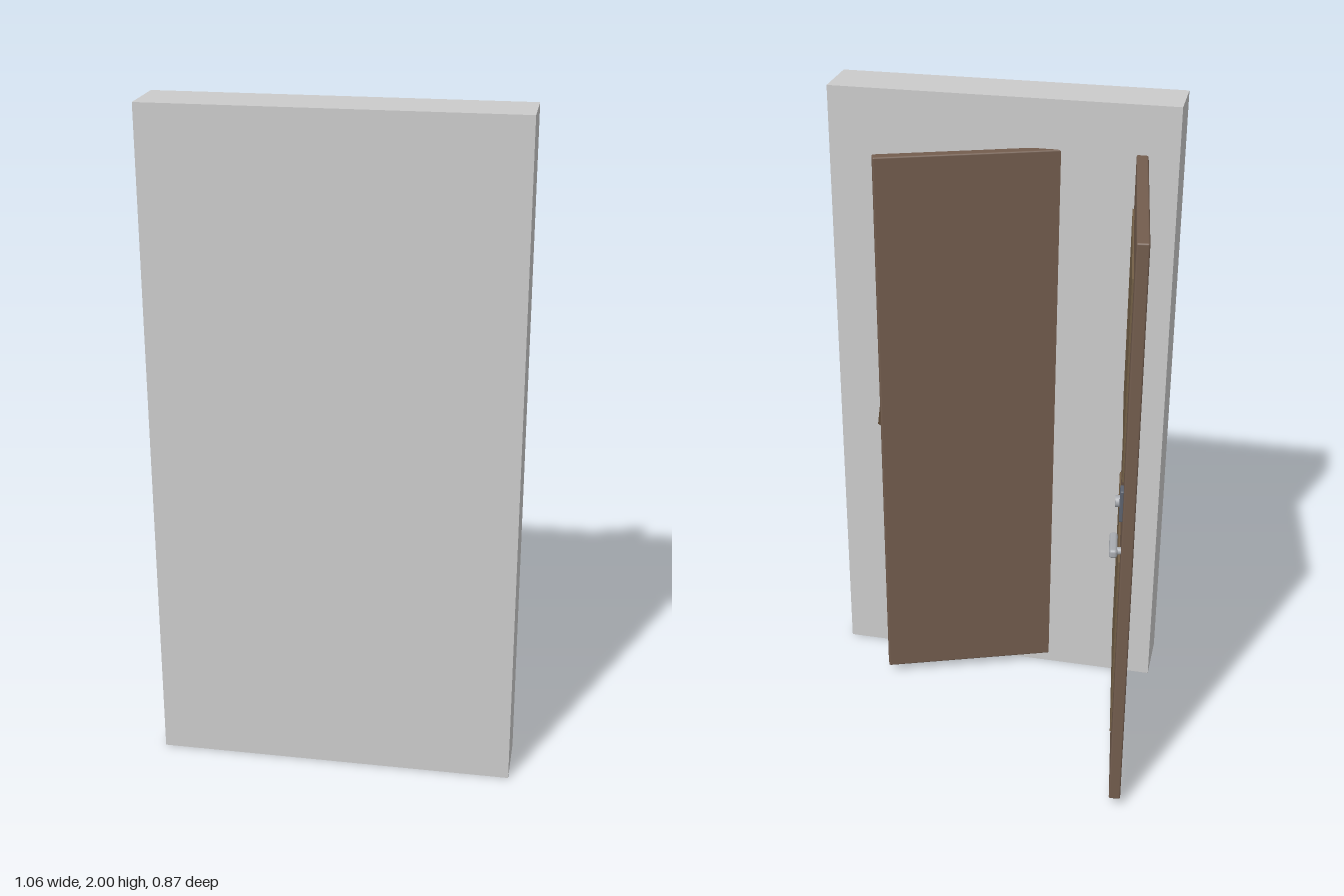
import * as THREE from 'three';
import { RoundedBoxGeometry } from 'three/addons/geometries/RoundedBoxGeometry.js';

const mat = (color) => new THREE.MeshStandardMaterial({ color });
const grey = mat(0xcccccc);
const wood = mat(0x735d4e);
const panelWood = mat(0x735f46);
const steel = mat(0xa8abb0);
const darkSteel = mat(0x5c626e);
const black = mat(0x222222);
const fobWood = mat(0x5a4632);

function add(parent, name, geometry, material, x, y, z) {
  const mesh = new THREE.Mesh(geometry, material);
  mesh.name = name;
  mesh.position.set(x, y, z);
  parent.add(mesh);
  return mesh;
}

// Door in its own frame: hinge at the origin, leaf along +x, panelled face to +z
function makeDoor(name, angle) {
  const door = new THREE.Group();
  door.name = name;
  const width = 0.806, thick = 0.035, face = thick / 2;
  add(door, 'doorLeaf', new RoundedBoxGeometry(width, 1.82, thick, 2, 0.005), wood, width / 2, 0.94, 0);

  // Raised panels
  for (const [part, y] of [['upperPanel', 1.39], ['lowerPanel', 0.5]]) {
    add(door, part, new THREE.BoxGeometry(0.535, 0.62, 0.01), panelWood, 0.41, y, face);
  }

  // Lever handle on a short post
  const post = add(door, 'handlePost', new THREE.CylinderGeometry(0.011, 0.011, 0.02, 24), steel, 0.755, 0.9, face + 0.008);
  post.rotation.x = Math.PI / 2;
  add(door, 'handleLever', new RoundedBoxGeometry(0.105, 0.028, 0.024, 3, 0.009), steel, 0.727, 0.9, 0.039);

  // Lock plate with turn knob
  add(door, 'lockPlate', new RoundedBoxGeometry(0.04, 0.1, 0.012, 2, 0.004), darkSteel, 0.746, 1.05, face + 0.004);
  const knob = add(door, 'lockKnob', new THREE.CylinderGeometry(0.017, 0.017, 0.022, 24), steel, 0.732, 1.05, face + 0.011);
  knob.rotation.x = Math.PI / 2;

  door.position.set(-0.41, 0, 0.364);
  door.rotation.y = THREE.MathUtils.degToRad(angle);
  return door;
}

export function createModel() {
  const model = new THREE.Group();
  model.name = 'doorwayWithTwoDoors';
  add(model, 'wall', new THREE.BoxGeometry(1.064, 2, 0.176), grey, 0, 1, 0.35);

  model.add(makeDoor('wideOpenDoor', 97.5));
  const ajar = makeDoor('ajarDoor', 20.1);
  model.add(ajar);

  // Black lock body with a hanging wooden fob, on the ajar door only
  const lock = new THREE.Group();
  lock.name = 'hangingLock';
  add(lock, 'lockBody', new RoundedBoxGeometry(0.045, 0.1, 0.028, 2, 0.004), black, 0.757, 1.075, 0.034);
  const strap = add(lock, 'strap', new THREE.BoxGeometry(0.02, 0.1, 0.012), black, 0.775, 1.0, 0.038);
  strap.rotation.z = 0.25;
  const fob = add(lock, 'fob', new THREE.BoxGeometry(0.03, 0.06, 0.024), fobWood, 0.79, 0.972, 0.044);
  fob.rotation.set(0.1, 0.4, 0.15);
  ajar.add(lock);

  return model;
}
